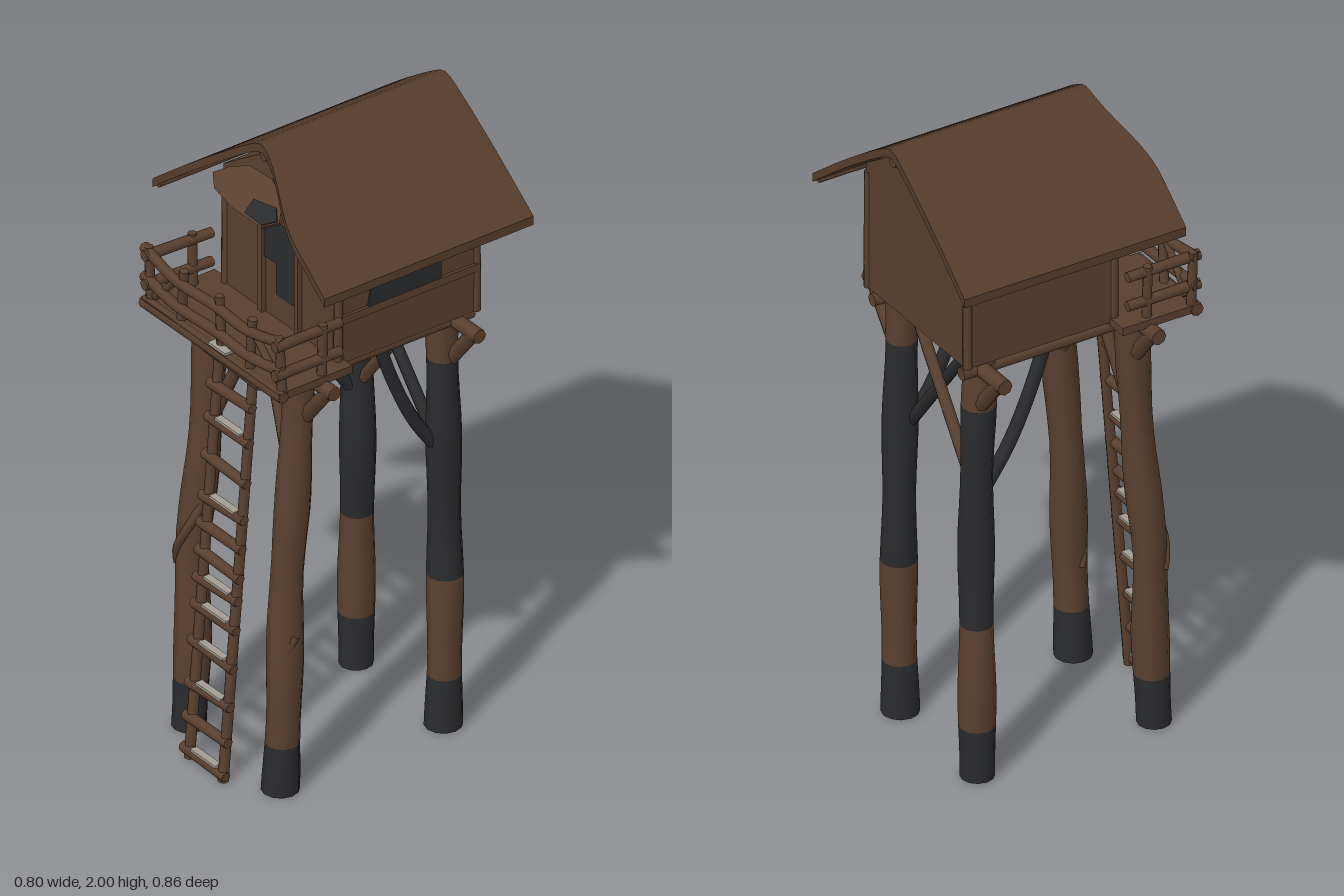
import * as THREE from 'three';

const mat = (name, color) => {
  const m = new THREE.MeshStandardMaterial({ color });
  m.name = name;
  return m;
};

export function createModel() {
  const wood = mat('brown wood', 0x5a402f);
  const thatch = mat('roof brown', 0x563d2c);
  const dark = mat('charcoal', 0x2a2b2d);
  const pale = mat('worn pale wood', 0xa39d94);
  const model = new THREE.Group();
  const V = (x, y, z) => new THREE.Vector3(x, y, z);

  const add = (name, geo, material, parent = model) => {
    const m = new THREE.Mesh(geo, material);
    m.name = name;
    parent.add(m);
    return m;
  };
  const group = (name) => {
    const g = new THREE.Group();
    g.name = name;
    model.add(g);
    return g;
  };
  const box = (name, x0, x1, y0, y1, z0, z1, material, parent) => {
    const g = new THREE.BoxGeometry(x1 - x0, y1 - y0, z1 - z0);
    g.translate((x0 + x1) / 2, (y0 + y1) / 2, (z0 + z1) / 2);
    return add(name, g, material, parent);
  };
  // Straight branch between two points, slightly tapered
  const pole = (name, a, b, r, material = wood, parent = model) => {
    const g = new THREE.CylinderGeometry(r * 0.92, r, a.distanceTo(b), 8);
    const m = add(name, g, material, parent);
    m.position.copy(a).add(b).multiplyScalar(0.5);
    m.quaternion.setFromUnitVectors(V(0, 1, 0), b.clone().sub(a).normalize());
    return m;
  };
  // Thin plate from a list of [x, y] corners
  const plate = (pts, depth) => new THREE.ExtrudeGeometry(
    new THREE.Shape(pts.map(p => new THREE.Vector2(...p))), { depth, bevelEnabled: false });

  // Crooked trunk legs, cut into colour bands
  const leg = (name, pts, bands) => {
    const g = group(name);
    const curve = new THREE.CatmullRomCurve3(pts.map(p => V(...p)));
    const samples = curve.getPoints(80);
    const centre = (y) => samples.reduce((a, b) => Math.abs(b.y - y) < Math.abs(a.y - y) ? b : a);
    for (const [y0, y1, material] of bands) {
      const geo = new THREE.CylinderGeometry(1, 1, y1 - y0, 12, Math.ceil((y1 - y0) / 0.07));
      geo.translate(0, (y0 + y1) / 2, 0);
      const p = geo.attributes.position;
      for (let i = 0; i < p.count; i++) {
        const y = p.getY(i), c = centre(y);
        const r = 0.053 - 0.004 * y + 0.003 * Math.sin(y * 13 + pts[0][0] * 9);
        p.setXYZ(i, p.getX(i) * r + c.x, y, p.getZ(i) * r + c.z);
      }
      geo.computeVertexNormals();
      add(name + 'Section', geo, material, g);
    }
  };
  const frontBands = [[0, 0.16, dark], [0.16, 1.37, wood]];
  const backBands = [[0, 0.17, dark], [0.17, 0.5, wood], [0.5, 1.22, dark], [1.22, 1.37, wood]];
  leg('frontRightLeg', [[-0.227, 0, 0.305], [-0.222, 0.3, 0.295], [-0.236, 0.58, 0.285],
    [-0.215, 0.9, 0.262], [-0.215, 1.37, 0.235]], frontBands);
  leg('frontLeftLeg', [[0.2, 0, 0.305], [0.213, 0.35, 0.3], [0.2, 0.65, 0.285],
    [0.205, 0.95, 0.265], [0.195, 1.37, 0.235]], frontBands);
  leg('backRightLeg', [[-0.21, 0, -0.27], [-0.215, 0.35, -0.275], [-0.2, 0.7, -0.268],
    [-0.21, 1, -0.272], [-0.21, 1.37, -0.26]], backBands);
  leg('backLeftLeg', [[0.2, 0, -0.268], [0.205, 0.35, -0.27], [0.195, 0.7, -0.275],
    [0.205, 1, -0.265], [0.2, 1.37, -0.26]], backBands);

  // Bark ridges winding round the front legs
  for (const [cx, y0] of [[-0.232, 0.52], [0.206, 0.3]]) {
    const pts = [0, 1, 2, 3, 4, 5].map(i => {
      const a = 2.6 - i * 0.5;
      return V(cx + 0.047 * Math.cos(a), y0 + i * 0.045, 0.287 + 0.047 * Math.sin(a));
    });
    add('barkRidge', new THREE.TubeGeometry(new THREE.CatmullRomCurve3(pts), 16, 0.013, 6), wood);
  }

  // Bearing beams, corner brackets and braces
  const frame = group('underframe');
  for (const z of [0.235, -0.275]) {
    pole('crossBeam', V(-0.365, 1.355, z), V(0.36, 1.355, z), 0.024, wood, frame);
    for (const s of [-1, 1])
      pole('cornerBracket', V(s * 0.225, 1.22, z), V(s * 0.335, 1.355, z), 0.024, wood, frame);
  }
  for (const s of [-1, 1]) {
    pole('sideBeam', V(s * 0.235, 1.355, -0.34), V(s * 0.235, 1.355, 0.3), 0.02, wood, frame);
    pole('frontBrace', V(s * 0.2, 0.98, 0.26), V(s * 0.04, 1.34, 0.225), 0.02, wood, frame);
    pole('backBrace', V(s * 0.19, 0.94, -0.26 + s * 0.01), V(-s * 0.13, 1.36, -0.25 + s * 0.015), 0.019, s > 0 ? dark : wood, frame);
    const bend = new THREE.CatmullRomCurve3([V(s * 0.2, 0.93, -0.24), V(s * 0.2, 1.05, -0.16),
      V(s * 0.2, 1.2, -0.09), V(s * 0.2, 1.37, -0.03)]);
    add('sideBrace', new THREE.TubeGeometry(bend, 12, 0.02, 8), dark, frame);
  }

  // Floor and porch
  box('porchFloor', -0.325, 0.318, 1.37, 1.395, 0.14, 0.4, wood);
  box('floorUnderside', -0.245, 0.262, 1.371, 1.38, -0.325, 0.14, dark);
  pole('porchEdge', V(-0.33, 1.38, 0.385), V(0.322, 1.38, 0.385), 0.02);
  box('wornStep', -0.01, 0.07, 1.4, 1.408, 0.36, 0.402, pale);

  // Porch railing
  const railing = group('railing');
  const xs = [-0.31, -0.17, 0.02, 0.15, 0.3];
  xs.forEach((x, i) => pole('railPost', V(x, 1.38, 0.375), V(x + (i % 2 ? 0.02 : -0.005), 1.565, 0.38), 0.015, wood, railing));
  for (const [y, sag] of [[1.55, 0.025], [1.455, 0.012]]) {
    const front = new THREE.CatmullRomCurve3([V(-0.335, y + 0.005, 0.382), V(-0.17, y - sag, 0.39),
      V(0, y - sag * 0.9, 0.385), V(0.15, y - sag, 0.39), V(0.315, y + 0.005, 0.382)]);
    add('frontRail', new THREE.TubeGeometry(front, 20, 0.016, 8), wood, railing);
    for (const s of [-1, 1])
      pole('sideRail', V(s * 0.305, y - 0.005, 0.405), V(s * 0.3, y - 0.01, 0.17), 0.017, wood, railing);
  }
  for (const s of [-1, 1]) {
    pole('railPost', V(s * 0.3, 1.38, 0.235), V(s * 0.305, 1.56, 0.235), 0.015, wood, railing);
    pole('railBrace', V(s * 0.29, 1.41, 0.375), V(s * 0.17, 1.53, 0.38), 0.012, wood, railing);
  }

  // Ladder
  const ladder = group('ladder');
  const lz = (y) => 0.41 - 0.08 * y;
  for (const x of [-0.085, 0.072])
    pole('ladderRail', V(x, 0, lz(0)), V(x + 0.002, 1.37, lz(1.37)), 0.016, wood, ladder);
  const rungs = [0.025, 0.13, 0.24, 0.37, 0.49, 0.58, 0.66, 0.75, 0.84, 0.965, 1.09, 1.2, 1.295];
  rungs.forEach((y, i) => {
    const w = i === 12 ? 0.025 : 0, tilt = (i % 3 - 1) * 0.004;
    pole('rung', V(-0.108 - w, y - tilt, lz(y) + 0.006), V(0.09 + w, y + tilt, lz(y) + 0.006), 0.017, wood, ladder);
    if ([0, 2, 3, 4, 5, 8, 10].includes(i))
      box('wornTread', -0.06, 0.055, y + 0.012, y + 0.02, lz(y) - 0.006, lz(y) + 0.018, pale, ladder);
  });

  // House body with gable ends
  const body = plate([[-0.258, 1.38], [0.275, 1.38], [0.275, 1.785], [0.008, 1.965], [-0.258, 1.785]], 0.495);
  body.translate(0, 0, -0.335);
  add('houseWalls', body, wood);
  for (const [x, z] of [[-0.253, 0.155], [0.27, 0.155], [-0.253, -0.33], [0.27, -0.33]])
    pole('cornerPost', V(x, 1.38, z), V(x, 1.76, z), 0.014);
  box('sillBoard', 0.27, 0.284, 1.515, 1.54, -0.335, 0.15, wood);

  // Side window
  const win = plate([[-0.055, 1.54], [0.2, 1.54], [0.2, 1.71], [-0.03, 1.71]], 0.006);
  win.rotateY(Math.PI / 2);
  win.translate(0.275, 0, 0);
  add('sideWindow', win, dark);

  // Door: dark opening, lower panel and frame
  box('doorOpening', -0.06, 0.092, 1.58, 1.73, 0.158, 0.166, dark);
  box('doorLowerOpening', -0.005, 0.092, 1.48, 1.58, 0.158, 0.166, dark);
  box('doorJamb', -0.08, -0.06, 1.395, 1.74, 0.155, 0.175, wood);
  box('doorJamb', 0.092, 0.108, 1.395, 1.74, 0.155, 0.175, wood);
  box('doorLintel', -0.08, 0.108, 1.73, 1.745, 0.155, 0.175, wood);

  // Small sloping hood below the gable peak
  const tilt = (g) => g.rotateX(-0.8).translate(0, 1.795, 0.292);
  add('gableHood', tilt(plate([[-0.17, 0.05], [-0.13, 0.015], [-0.03, 0], [0.1, 0], [0.15, 0.04],
    [0.11, 0.1], [0.03, 0.13], [-0.07, 0.125], [-0.13, 0.09]], 0.012)), wood);
  add('hoodPatch', tilt(plate([[0.02, 0.008], [0.1, 0.006], [0.143, 0.04], [0.11, 0.07], [0.02, 0.055]], 0.006)
    .translate(0, 0, 0.01)), dark);

  // Roof: a sheet bent over the ridge, with the front edge swept back at the peak
  const roof = new THREE.BoxGeometry(2, 1, 1, 32, 1, 8);
  const p = roof.attributes.position;
  for (let i = 0; i < p.count; i++) {
    const x = p.getX(i) * 0.402, a = Math.abs(x), t = p.getZ(i) + 0.5;
    const front = 0.222 + 0.08 * THREE.MathUtils.smoothstep(a, 0, 0.27);
    const back = -0.425 - 0.008 * a / 0.4;
    const y = 2.014 - 0.74 * Math.sqrt(a * a + 0.0004) + 0.008 * Math.sin(a / 0.4 * Math.PI);
    p.setXYZ(i, x, y - (0.5 - p.getY(i)) * 0.028, back + (front - back) * t);
  }
  roof.computeVertexNormals();
  add('roof', roof, thatch);
  pole('ridgePole', V(0, 1.957, -0.42), V(0, 1.957, 0.215), 0.018);
  for (const s of [-1, 1])
    pole('eavePole', V(s * 0.385, 1.705, -0.425), V(s * 0.385, 1.705, 0.295), 0.013);

  return model;
}
